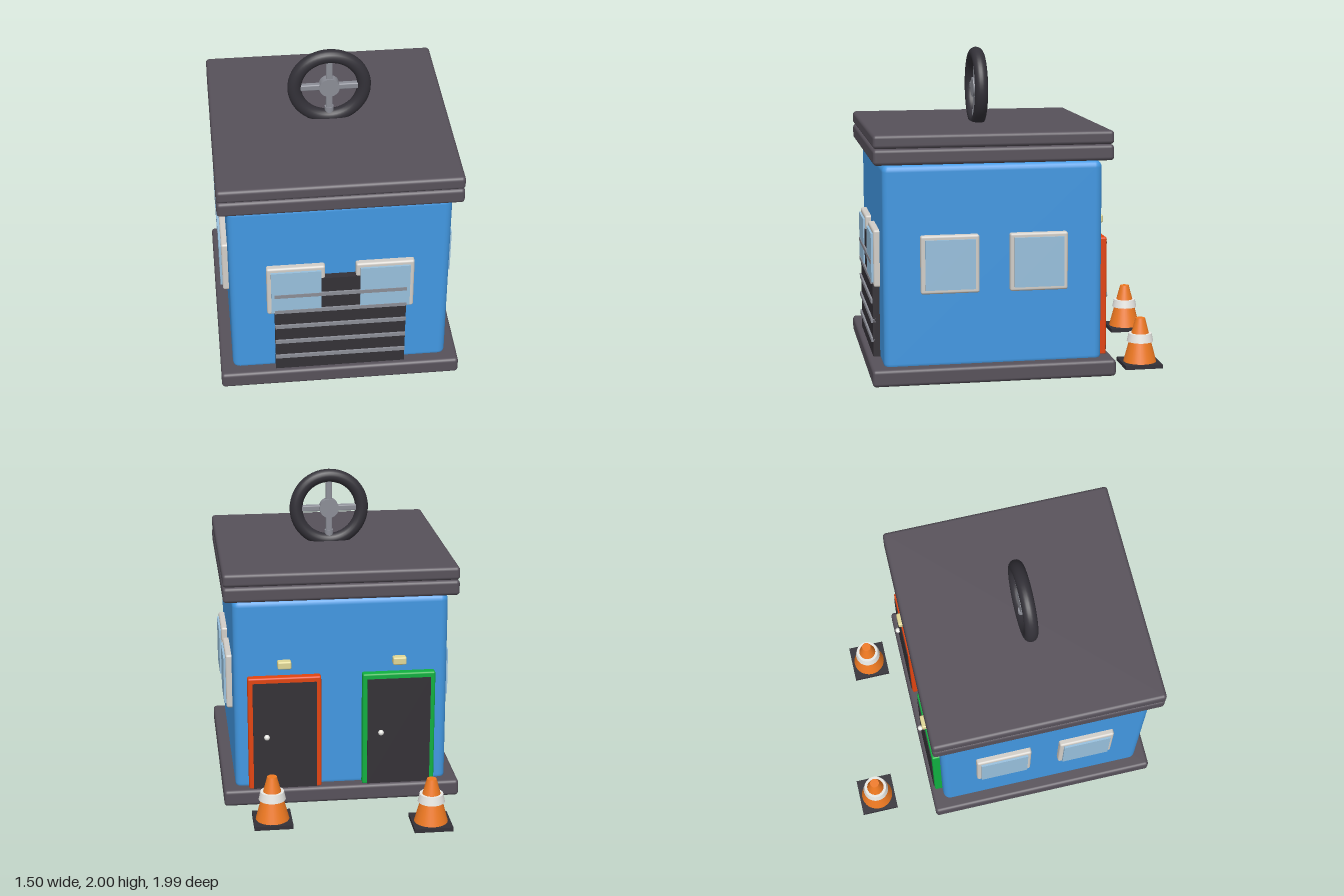
import * as THREE from 'three';
import { RoundedBoxGeometry } from 'three/addons/geometries/RoundedBoxGeometry.js';

const mat = (color) => new THREE.MeshStandardMaterial({ color });
const M = {
  wall: mat(0x4298e2), slate: mat(0x57515a), rubber: mat(0x333138), steel: mat(0x8b8d96),
  frame: mat(0xd2cec8), glass: mat(0x98c0dd), dark: mat(0x343136), red: mat(0xe2440f),
  green: mat(0x10b040), lamp: mat(0xe0d796), orange: mat(0xf07a22), white: mat(0xe8e8e4),
};
const CZ = 0.24; // building centre along z

function add(parent, name, geometry, material, x = 0, y = 0, z = 0) {
  const mesh = new THREE.Mesh(geometry, material);
  mesh.name = name;
  mesh.position.set(x, y, z);
  parent.add(mesh);
  return mesh;
}
const rbox = (w, h, d, r) => new RoundedBoxGeometry(w, h, d, 3, r);

// Window facing +z, its back on the local z = 0 plane
function makeWindow() {
  const g = new THREE.Group();
  g.name = 'window';
  add(g, 'windowFrame', rbox(0.357, 0.357, 0.06, 0.014), M.frame, 0, 0, 0.006);
  add(g, 'windowGlass', new THREE.BoxGeometry(0.305, 0.305, 0.04), M.glass, 0, 0, 0.029);
  return g;
}

// Back door facing -z, with knob and lamp
function makeDoor(frameMaterial) {
  const g = new THREE.Group();
  g.name = 'backDoor';
  add(g, 'doorFrame', rbox(0.46, 0.745, 0.07, 0.012), frameMaterial, 0, 0.482, -0.447);
  add(g, 'doorPanel', new THREE.BoxGeometry(0.4, 0.705, 0.05), M.dark, 0, 0.4675, -0.462);
  add(g, 'doorKnob', new THREE.SphereGeometry(0.018, 20, 14), M.white, 0.115, 0.465, -0.498);
  add(g, 'doorLamp', rbox(0.085, 0.05, 0.057, 0.01), M.lamp, 0, 0.938, -0.473);
  return g;
}

function makeCone() {
  const g = new THREE.Group();
  g.name = 'trafficCone';
  add(g, 'coneFoot', new THREE.BoxGeometry(0.24, 0.025, 0.24), M.rubber, 0, 0.0125, 0);
  add(g, 'coneBody', new THREE.CylinderGeometry(0.03, 0.107, 0.29, 32), M.orange, 0, 0.16, 0);
  add(g, 'coneBand', new THREE.CylinderGeometry(0.073, 0.084, 0.052, 32), M.white, 0, 0.182, 0);
  return g;
}

export function createModel() {
  const model = new THREE.Group();
  model.name = 'garage';

  // Base slab, walls and two-tier roof
  add(model, 'baseSlab', rbox(1.5, 0.105, 1.5, 0.022), M.slate, 0, 0.0625, CZ);
  add(model, 'walls', rbox(1.345, 1.26, 1.345, 0.045), M.wall, 0, 0.715, CZ);
  add(model, 'roofLower', rbox(1.46, 0.097, 1.46, 0.022), M.slate, 0, 1.398, CZ);
  add(model, 'roofUpper', rbox(1.46, 0.083, 1.46, 0.022), M.slate, 0, 1.49, CZ);

  // Front, left and right windows in pairs
  for (const turn of [0, Math.PI / 2, -Math.PI / 2]) {
    const side = new THREE.Group();
    side.name = 'windowPair';
    side.position.z = CZ;
    side.rotation.y = turn;
    for (const s of [-1, 1]) {
      const w = makeWindow();
      w.position.set(s * 0.272, 0.74, 0.674);
      side.add(w);
    }
    model.add(side);
  }

  // Front shutter with metal slats
  add(model, 'shutter', new THREE.BoxGeometry(0.81, 0.72, 0.06), M.dark, 0, 0.47, 0.925);
  for (let i = 0; i < 5; i++) {
    add(model, 'shutterSlat', new THREE.BoxGeometry(0.81, 0.025, 0.03), M.steel, 0, 0.22 + i * 0.123, 0.951);
  }

  // Back doors
  for (const [x, m] of [[0.36, M.red], [-0.36, M.green]]) {
    const door = makeDoor(m);
    door.position.x = x;
    model.add(door);
  }

  // Rooftop steering wheel
  const wheel = new THREE.Group();
  wheel.name = 'steeringWheel';
  wheel.position.set(0, 1.745, CZ);
  add(wheel, 'wheelRim', new THREE.TorusGeometry(0.213, 0.042, 20, 56), M.rubber);
  add(wheel, 'wheelHub', new THREE.CylinderGeometry(0.062, 0.062, 0.055, 32), M.steel).rotation.x = Math.PI / 2;
  for (let i = 0; i < 4; i++) {
    const a = (i * Math.PI) / 2;
    add(wheel, 'wheelSpoke', rbox(0.19, 0.04, 0.035, 0.008), M.steel,
      Math.cos(a) * 0.115, Math.sin(a) * 0.115, 0).rotation.z = a;
  }
  add(wheel, 'wheelPost', new THREE.CylinderGeometry(0.028, 0.028, 0.11, 20), M.steel, 0, -0.2, 0);
  model.add(wheel);

  // Traffic cones behind the building
  for (const [x, z] of [[0.465, -0.733], [-0.505, -0.878]]) {
    const cone = makeCone();
    cone.position.set(x, 0, z);
    model.add(cone);
  }
  return model;
}
